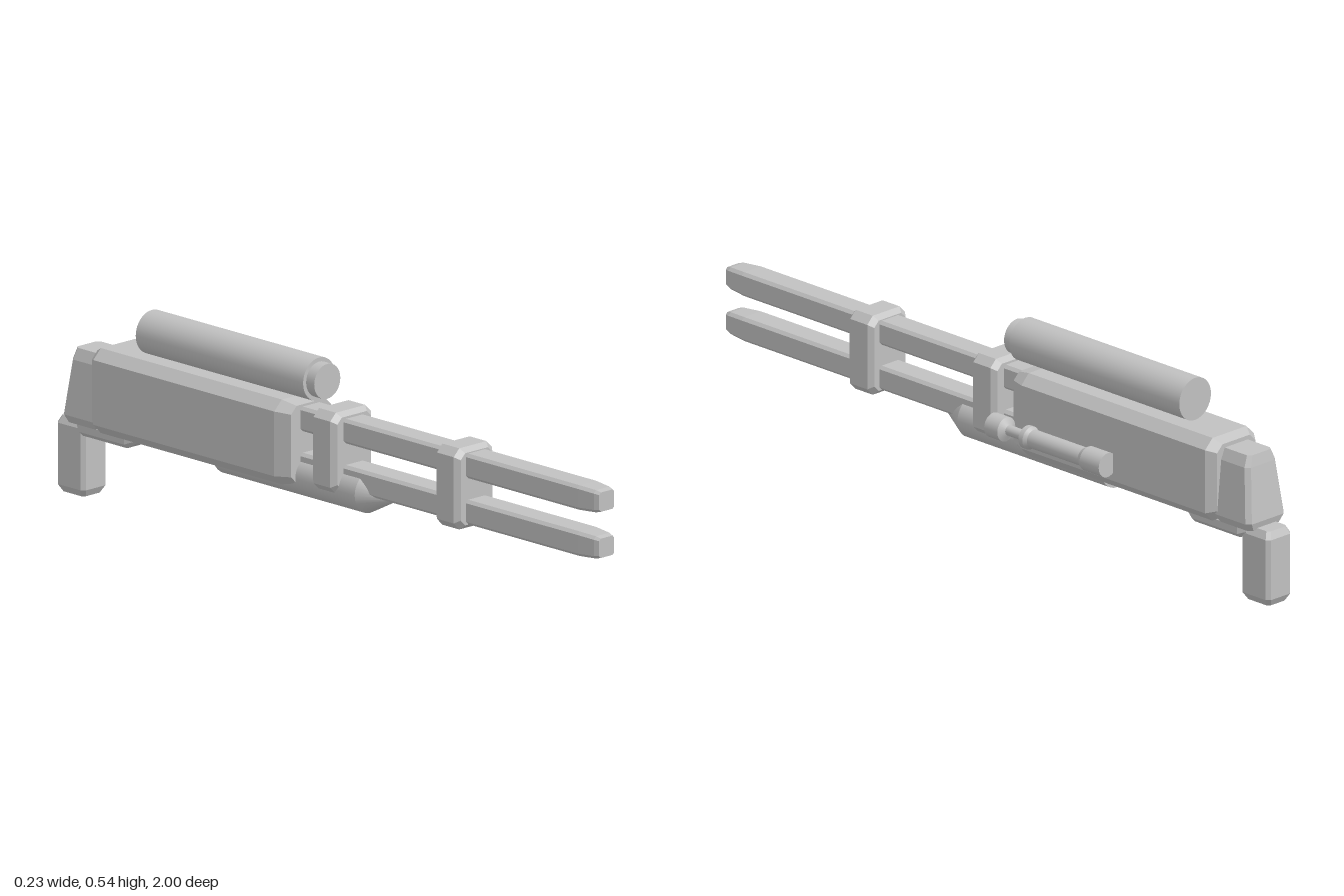
import * as THREE from 'three';

const CX = -0.027; // centre line of the main parts

// Lofts octagonal (chamfered rectangle) sections.
// Each section: [position, half width, half height, chamfer, shift]
function loft(sections) {
  const pos = [];
  const rings = sections.map(([z, w, h, c, dy = 0]) => [
    [w, h - c], [w - c, h], [c - w, h], [-w, h - c],
    [-w, c - h], [c - w, -h], [w - c, -h], [w, c - h],
  ].map(([x, y]) => [x, y + dy, z]));
  const tri = (a, b, c) => pos.push(...a, ...b, ...c);
  for (let s = 0; s < rings.length - 1; s++) {
    for (let i = 0; i < 8; i++) {
      const j = (i + 1) % 8, a = rings[s], b = rings[s + 1];
      tri(a[i], a[j], b[j]);
      tri(a[i], b[j], b[i]);
    }
  }
  const first = rings[0], last = rings[rings.length - 1];
  for (let i = 1; i < 7; i++) {
    tri(first[0], first[i + 1], first[i]);
    tri(last[0], last[i], last[i + 1]);
  }
  const g = new THREE.BufferGeometry();
  g.setAttribute('position', new THREE.Float32BufferAttribute(pos, 3));
  g.computeVertexNormals();
  return g;
}

// Block between z0 and z1 with chamfered edges and inset ends
function block(z0, z1, w, h, c, inset, len) {
  return loft([
    [z0, w - inset, h - inset, c * 0.8], [z0 + len, w, h, c],
    [z1 - len, w, h, c], [z1, w - inset, h - inset, c * 0.8],
  ]);
}

// Turned part along z; each pair of points is one hard-edged band
function turned(points, segments = 32) {
  const group = new THREE.Group();
  for (let i = 0; i < points.length - 1; i++) {
    const [z0, r0] = points[i], [z1, r1] = points[i + 1];
    const g = new THREE.LatheGeometry(
      [new THREE.Vector2(r0, z0), new THREE.Vector2(r1, z1)], segments);
    g.rotateX(Math.PI / 2);
    group.add(new THREE.Mesh(g));
  }
  return group;
}

export function createModel() {
  const model = new THREE.Group();
  const grey = new THREE.MeshStandardMaterial({ color: 0xc0c0c0 });
  const add = (name, part, x, y, z = 0) => {
    const obj = part.isBufferGeometry ? new THREE.Mesh(part) : part;
    obj.traverse((o) => { if (o.isMesh) { o.material = grey; o.name = name; } });
    obj.name = name;
    obj.position.set(x, y, z);
    model.add(obj);
    return obj;
  };

  // Main housing
  add('housing', loft([
    [-0.835, 0.07, 0.1, 0.02], [-0.81, 0.089, 0.114, 0.027],
    [-0.14, 0.089, 0.114, 0.027], [-0.095, 0.072, 0.104, 0.02],
  ]), CX, 0.311);

  // Twin rails with tapered tips
  for (const [name, y] of [['upperRail', 0.376], ['lowerRail', 0.252]]) {
    add(name, loft([
      [-0.15, 0.038, 0.033, 0.008], [0.93, 0.038, 0.033, 0.008],
      [0.985, 0.032, 0.03, 0.008], [1, 0.027, 0.026, 0.006],
    ]), CX, y);
  }

  // Clamps around the rails
  add('frontClamp', block(0.428, 0.518, 0.069, 0.109, 0.02, 0.012, 0.014), CX, 0.315);
  add('rearClamp', block(-0.025, 0.065, 0.073, 0.109, 0.02, 0.012, 0.014), CX, 0.318);

  // Scope tube
  add('scope', turned([
    [-0.685, 0], [-0.685, 0.058], [-0.065, 0.058], [-0.065, 0.047],
    [-0.035, 0.047], [-0.035, 0],
  ]), CX, 0.483);

  // Underslung tube with pointed nose
  add('lowerTube', turned([
    [-0.4, 0], [-0.4, 0.057], [0.125, 0.057], [0.235, 0],
  ]), CX, 0.22);

  // Side lever
  add('sideLever', turned([
    [-0.475, 0], [-0.475, 0.033], [-0.405, 0.033], [-0.39, 0.025],
    [-0.205, 0.025], [-0.195, 0.031], [-0.18, 0.031], [-0.165, 0.014],
    [-0.115, 0.014], [-0.105, 0.033], [-0.057, 0.033], [-0.057, 0],
  ], 24), 0.082, 0.273);

  // Rear block, narrowing upwards (lofted upright)
  const rear = loft([
    [0.2, 0.058, 0.06, 0.012, 0.884], [0.222, 0.07, 0.072, 0.012, 0.878],
    [0.37, 0.055, 0.064, 0.012, 0.868], [0.4, 0.042, 0.058, 0.01, 0.868],
  ]);
  add('rearBlock', rear.rotateX(-Math.PI / 2), CX, 0);

  // Grip (lofted upright)
  const grip = loft([
    [0, 0.033, 0.041, 0.008], [0.02, 0.045, 0.052, 0.01],
    [0.185, 0.045, 0.052, 0.01], [0.205, 0.034, 0.042, 0.008],
  ]);
  add('grip', grip.rotateX(-Math.PI / 2), CX, 0, -0.945);

  // Plate linking housing and grip
  add('gripPlate', loft([
    [-0.915, 0.045, 0.014, 0.006, 0.006], [-0.895, 0.057, 0.022, 0.012],
    [-0.73, 0.057, 0.022, 0.012], [-0.7, 0.045, 0.012, 0.006, 0.008],
  ]), CX, 0.191);

  return model;
}
